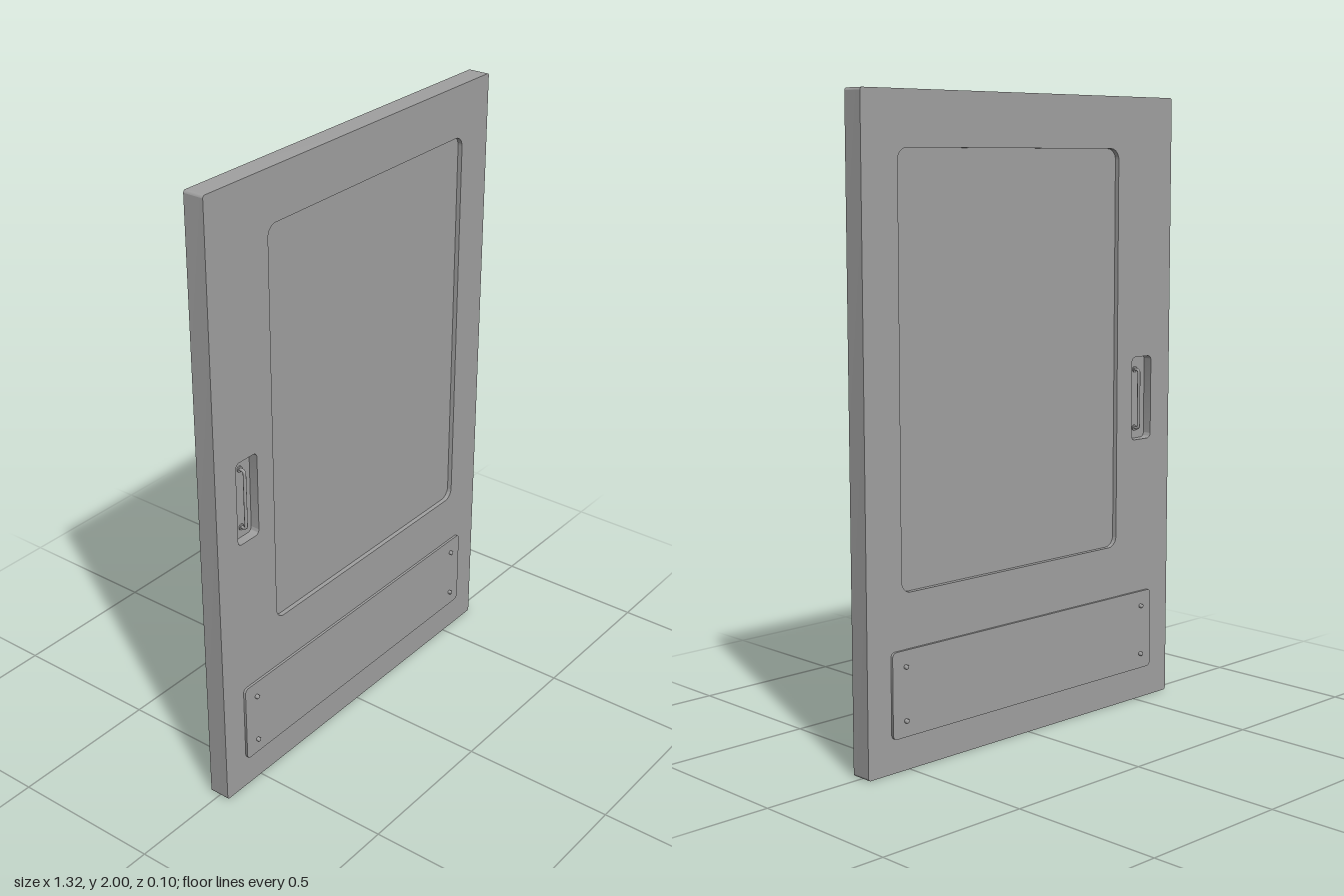
import * as THREE from 'three';
import { toCreasedNormals } from 'three/addons/utils/BufferGeometryUtils.js';

const HALF = 0.034; // half of the door thickness

// Rounded rectangle outline from its edges
function roundRect(path, x0, x1, y0, y1, r) {
  path.moveTo(x0 + r, y0);
  path.lineTo(x1 - r, y0);
  path.absarc(x1 - r, y0 + r, r, -Math.PI / 2, 0);
  path.lineTo(x1, y1 - r);
  path.absarc(x1 - r, y1 - r, r, 0, Math.PI / 2);
  path.lineTo(x0 + r, y1);
  path.absarc(x0 + r, y1 - r, r, Math.PI / 2, Math.PI);
  path.lineTo(x0, y0 + r);
  path.absarc(x0 + r, y0 + r, r, Math.PI, Math.PI * 1.5);
  return path;
}

// Slab between two depths
function slab(shape, z0, z1) {
  const g = new THREE.ExtrudeGeometry(shape, { depth: z1 - z0, bevelEnabled: false, curveSegments: 8 });
  g.translate(0, 0, z0);
  return toCreasedNormals(g, 0.6);
}

export function createModel() {
  const model = new THREE.Group();
  model.name = 'door';
  const paint = new THREE.MeshStandardMaterial({ color: 0xa0a0a0 });
  paint.name = 'grey paint';

  const add = (parent, name, geometry, x = 0, y = 0, z = 0) => {
    const mesh = new THREE.Mesh(geometry, paint);
    mesh.name = name;
    mesh.position.set(x, y, z);
    parent.add(mesh);
    return mesh;
  };

  // Door leaf with openings for the panel and the handle pocket
  const panel = [-0.405, 0.525, 0.54, 1.835, 0.035];
  const pocket = [-0.57, -0.477, 0.885, 1.16, 0.016];
  const leaf = roundRect(new THREE.Shape(), -0.66, 0.66, 0, 2, 0.008);
  leaf.holes.push(roundRect(new THREE.Path(), ...panel), roundRect(new THREE.Path(), ...pocket));
  add(model, 'doorLeaf', slab(leaf, -HALF, HALF));

  // Recessed fillings of both openings
  add(model, 'windowPanel', slab(roundRect(new THREE.Shape(), ...panel), -0.019, 0.019));
  add(model, 'pocketBack', slab(roundRect(new THREE.Shape(), ...pocket), -0.004, 0.004));

  // Bar handle path, bent at both ends
  const hx = -0.522, low = 0.92, high = 1.115, out = 0.024, bend = 0.01;
  const v = (y, z) => new THREE.Vector3(hx, y, z);
  const path = new THREE.CurvePath();
  path.add(new THREE.LineCurve3(v(low, 0), v(low, out - bend)));
  path.add(new THREE.QuadraticBezierCurve3(v(low, out - bend), v(low, out), v(low + bend, out)));
  path.add(new THREE.LineCurve3(v(low + bend, out), v(high - bend, out)));
  path.add(new THREE.QuadraticBezierCurve3(v(high - bend, out), v(high, out), v(high, out - bend)));
  path.add(new THREE.LineCurve3(v(high, out - bend), v(high, 0)));
  const barGeo = new THREE.TubeGeometry(path, 60, 0.005, 10);
  const footGeo = new THREE.CylinderGeometry(0.01, 0.01, 0.004, 16).rotateX(Math.PI / 2);

  const plateGeo = slab(roundRect(new THREE.Shape(), -0.57, 0.57, 0.105, 0.37, 0.015), HALF - 0.002, 0.042);

  // Screw with a slightly domed head
  const screwGeo = new THREE.LatheGeometry([
    [0.007, 0], [0.007, 0.0075], [0.005, 0.0095], [0, 0.0105],
  ].map(([r, h]) => new THREE.Vector2(r, h)), 14).rotateX(Math.PI / 2);

  // Same fittings on the front and the back
  for (const side of ['front', 'back']) {
    const fittings = new THREE.Group();
    fittings.name = side + 'Fittings';
    const back = side === 'back';
    if (back) fittings.rotation.y = Math.PI;

    // The handle stays on the same edge of the door, so it is shifted on the turned side
    const handle = new THREE.Group();
    handle.name = side + 'Handle';
    if (back) handle.position.x = -2 * hx;
    add(handle, 'handleBar', barGeo);
    for (const y of [low, high]) add(handle, 'handleFoot', footGeo, hx, y, 0.006);
    fittings.add(handle);

    add(fittings, 'kickPlate', plateGeo);
    for (const x of [-0.52, 0.52])
      for (const y of [0.155, 0.32]) add(fittings, 'screw', screwGeo, x, y, 0.042);
    model.add(fittings);
  }
  return model;
}
